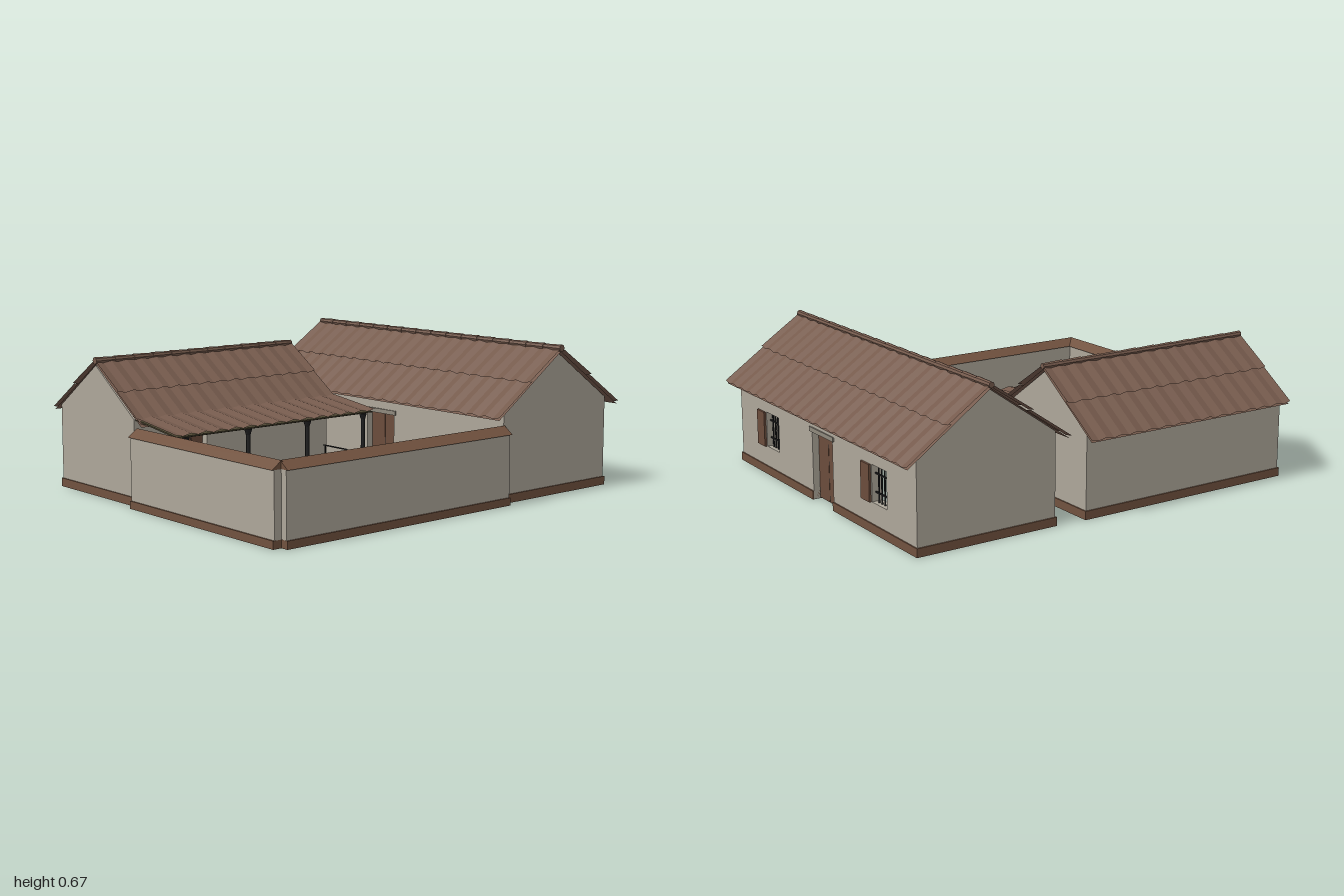
import * as THREE from 'three';

const mat = (name, color, extra = {}) => {
  const m = new THREE.MeshStandardMaterial({ color, ...extra });
  m.name = name;
  return m;
};

export function createModel() {
  const plaster = mat('plaster', 0xaea79a, { side: THREE.DoubleSide });
  const tile = mat('roofTile', 0x765b4d, { side: THREE.DoubleSide, flatShading: true });
  const trim = mat('brownTrim', 0x71523f);
  const wood = mat('doorWood', 0x6b4c3c);
  const iron = mat('darkIron', 0x1f1f20);
  const boards = mat('porchBoards', 0x4f4833);
  const stone = mat('stone', 0x8f897d);
  const T = 0.05; // wall thickness

  const add = (parent, name, geo, material, x = 0, y = 0, z = 0) => {
    const m = new THREE.Mesh(geo, material);
    m.name = name;
    m.position.set(x, y, z);
    parent.add(m);
    return m;
  };
  const box = (parent, name, material, w, h, d, x, y, z) =>
    add(parent, name, new THREE.BoxGeometry(w, h, d), material, x, y, z);
  const extrude = (shape, depth) => new THREE.ExtrudeGeometry(shape, { depth, bevelEnabled: false });
  const poly = pts => new THREE.Shape(pts.map(p => new THREE.Vector2(...p)));

  // Corrugated sheet along x, falling from (z0, y0) to (z1, y1)
  const sheet = (parent, name, len, waves, amp, [z0, y0], [z1, y1]) => {
    const geo = new THREE.PlaneGeometry(len, 1, waves * 4, 1);
    const p = geo.attributes.position;
    for (let i = 0; i < p.count; i++) {
      const x = p.getX(i), t = 0.5 - p.getY(i);
      const wave = amp * Math.cos((x / len + 0.5) * waves * Math.PI * 2);
      p.setXYZ(i, x, y0 + (y1 - y0) * t + wave, z0 + (z1 - z0) * t);
    }
    geo.computeVertexNormals();
    add(parent, name, geo, tile);
  };

  // Two tile courses on each side, with a row of ridge tiles
  const roof = (parent, len, waves, ridgeY, eaveZ, eaveY) => {
    const g = new THREE.Group();
    g.name = 'roof';
    parent.add(g);
    for (const s of [-1, 1]) {
      const midY = (ridgeY + eaveY) / 2;
      sheet(g, 'upperTiles', len, waves, 0.004, [0, ridgeY], [s * eaveZ * 0.52, midY + 0.002]);
      sheet(g, 'lowerTiles', len, waves, 0.004, [s * eaveZ * 0.48, midY + 0.002], [s * eaveZ, eaveY]);
      sheet(g, 'roofUnderlay', len - 0.01, 1, 0, [0, ridgeY - 0.014], [s * eaveZ * 0.985, eaveY - 0.009]);
    }
    const n = Math.round(len / 0.1);
    for (let i = 0; i < n; i++) {
      const r = new THREE.CylinderGeometry(0.013, 0.016, len / n, 8);
      r.rotateZ(Math.PI / 2);
      add(g, 'ridgeTile', r, tile, (i + 0.5) * len / n - len / 2, ridgeY, 0);
    }
  };

  // Hollow house: ridge along x, openings listed per long side
  const house = (name, hx, hz, H, apex, openings) => {
    const g = new THREE.Group();
    g.name = name;
    for (const s of [-1, 1]) {
      const list = openings.filter(o => o.side === s);
      const doors = list.filter(o => o.door).sort((a, b) => a.x - b.x);
      const outline = [[-hx, 0]];
      let start = -hx - 0.006;
      const skirt = (a, b) =>
        box(g, 'wallSkirt', trim, b - a, 0.038, T + 0.012, (a + b) / 2, 0.019, s * (hz - T / 2));
      for (const o of doors) {
        const a = o.x - o.w / 2, b = o.x + o.w / 2;
        outline.push([a, 0], [a, o.top], [b, o.top], [b, 0]);
        skirt(start, a);
        start = b;
      }
      skirt(start, hx + 0.006);
      outline.push([hx, 0], [hx, H], [-hx, H]);
      const shape = poly(outline);
      for (const o of list) {
        const a = o.x - o.w / 2, b = o.x + o.w / 2;
        const face = d => s * (hz + d);
        if (o.door) {
          for (const k of [-1, 1])
            box(g, 'doorLeaf', wood, o.w / 2 - 0.003, o.top - 0.01, 0.01, o.x + k * o.w / 4, o.top / 2, face(-0.035));
          box(g, 'doorGap', iron, 0.008, o.top - 0.01, 0.008, o.x, o.top / 2, face(-0.035));
          box(g, 'doorLintel', stone, o.w + 0.03, 0.02, 0.02, o.x, o.top + 0.005, face(-0.004));
          if (o.backing) box(g, 'doorBacking', iron, o.w, o.top, 0.006, o.x, o.top / 2, face(-T));
        } else {
          shape.holes.push(new THREE.Path([[a, o.low], [a, o.top], [b, o.top], [b, o.low]].map(p => new THREE.Vector2(...p))));
          const h = o.top - o.low, y = (o.top + o.low) / 2;
          for (let i = 1; i <= 4; i++)
            add(g, 'windowBar', new THREE.CylinderGeometry(0.004, 0.004, h, 6), iron, a + i * o.w / 5, y, face(-0.02));
          for (const k of [0.25, 0.75])
            box(g, 'windowCrossBar', iron, o.w, 0.006, 0.006, o.x, o.low + h * k, face(-0.02));
          box(g, 'shutter', wood, 0.07, h, 0.01, b + 0.036, y, face(0.008));
        }
      }
      add(g, 'longWall', extrude(shape, T), plaster, 0, 0, s > 0 ? hz - T : -hz);

      // Gable wall and its skirt
      const gable = extrude(poly([[-hz, 0], [hz, 0], [hz, H], [0, apex], [-hz, H]]), T);
      gable.rotateY(Math.PI / 2);
      add(g, 'gableWall', gable, plaster, s > 0 ? hx - T : -hx, 0, 0);
      box(g, 'gableSkirt', trim, T + 0.012, 0.038, hz * 2 + 0.012, s * (hx - T / 2), 0.019, 0);
    }
    return g;
  };

  const model = new THREE.Group();
  model.name = 'courtyardHouse';

  // Main house at the back
  const main = house('mainHouse', 0.78, 0.33, 0.405, 0.635, [
    { side: -1, door: true, x: -0.01, w: 0.18, top: 0.31 },
    { side: -1, x: 0.46, w: 0.12, low: 0.13, top: 0.29 },
    { side: -1, x: -0.49, w: 0.12, low: 0.13, top: 0.29 },
    { side: 1, door: true, x: 0, w: 0.18, top: 0.31, backing: true },
  ]);
  roof(main, 1.62, 20, 0.652, 0.39, 0.38);
  main.position.set(0.01, 0, -0.605);
  model.add(main);

  // Side house; its local -z faces the yard
  const side = house('sideHouse', 0.537, 0.29, 0.375, 0.58, [
    { side: -1, door: true, x: 0.22, w: 0.13, top: 0.29 },
  ]);
  side.rotation.y = -Math.PI / 2;
  side.position.set(-0.49, 0, 0.413);
  const sideRoof = new THREE.Group();
  sideRoof.position.x = -0.008;
  sideRoof.name = 'sideRoof';
  side.add(sideRoof);
  roof(sideRoof, 1.1, 14, 0.6, 0.35, 0.357);
  sheet(sideRoof, 'porchTiles', 1.1, 14, 0.004, [-0.29, 0.385], [-0.6, 0.345]);
  model.add(side);

  // Porch ceiling, beam and posts
  const porch = new THREE.Group();
  porch.name = 'porch';
  model.add(porch);
  const ceiling = box(porch, 'porchCeiling', boards, 0.3, 0.006, 1.08, -0.045, 0.355, 0.405);
  ceiling.rotation.z = -0.128;
  box(porch, 'porchBeam', boards, 0.02, 0.016, 1.06, 0.06, 0.333, 0.405);
  for (const z of [-0.12, 0.21, 0.54, 0.87]) {
    add(porch, 'post', new THREE.CylinderGeometry(0.009, 0.01, 0.335, 8), iron, 0.06, 0.1675, z);
    add(porch, 'postBase', new THREE.CylinderGeometry(0.013, 0.019, 0.03, 8), iron, 0.06, 0.015, z);
    add(porch, 'postRing', new THREE.CylinderGeometry(0.014, 0.014, 0.012, 8), iron, 0.06, 0.07, z);
    add(porch, 'postCapital', new THREE.CylinderGeometry(0.018, 0.01, 0.025, 8), iron, 0.06, 0.312, z);
  }

  // Yard walls with ridged coping, built along x
  const yardWall = (name, len) => {
    const g = new THREE.Group();
    g.name = name;
    box(g, 'yardWallBody', plaster, len, 0.31, 0.07, 0, 0.155, 0);
    box(g, 'yardWallSkirt', trim, len + 0.002, 0.034, 0.084, 0, 0.017, 0);
    const cap = extrude(poly([[-0.047, 0.308], [0.047, 0.308], [0, 0.342]]), len + 0.004);
    cap.rotateY(Math.PI / 2);
    add(g, 'coping', cap, trim, -len / 2 - 0.002, 0, 0);
    model.add(g);
    return g;
  };
  yardWall('frontYardWall', 0.97).position.set(0.312, 0, 0.953);
  const right = yardWall('rightYardWall', 1.23);
  right.rotation.y = Math.PI / 2;
  right.position.set(0.792, 0, 0.338);

  // Well with an iron hoop
  const well = new THREE.Group();
  well.name = 'well';
  well.position.set(0.32, 0, 0.27);
  model.add(well);
  const ring = new THREE.LatheGeometry(
    [[0.06, 0], [0.075, 0], [0.075, 0.105], [0.06, 0.105], [0.06, 0]].map(p => new THREE.Vector2(...p)), 8).toNonIndexed();
  ring.computeVertexNormals();
  add(well, 'wellRing', ring, plaster).rotation.y = Math.PI / 8;
  const water = new THREE.CircleGeometry(0.061, 8);
  water.rotateX(-Math.PI / 2);
  add(well, 'wellShaft', water, iron, 0, 0.085, 0).rotation.y = Math.PI / 8;
  for (const s of [-1, 1]) box(well, 'hoopPost', iron, 0.005, 0.15, 0.005, s * 0.068, 0.175, 0);
  box(well, 'hoopBar', iron, 0.155, 0.005, 0.005, 0, 0.248, 0);

  return model;
}
